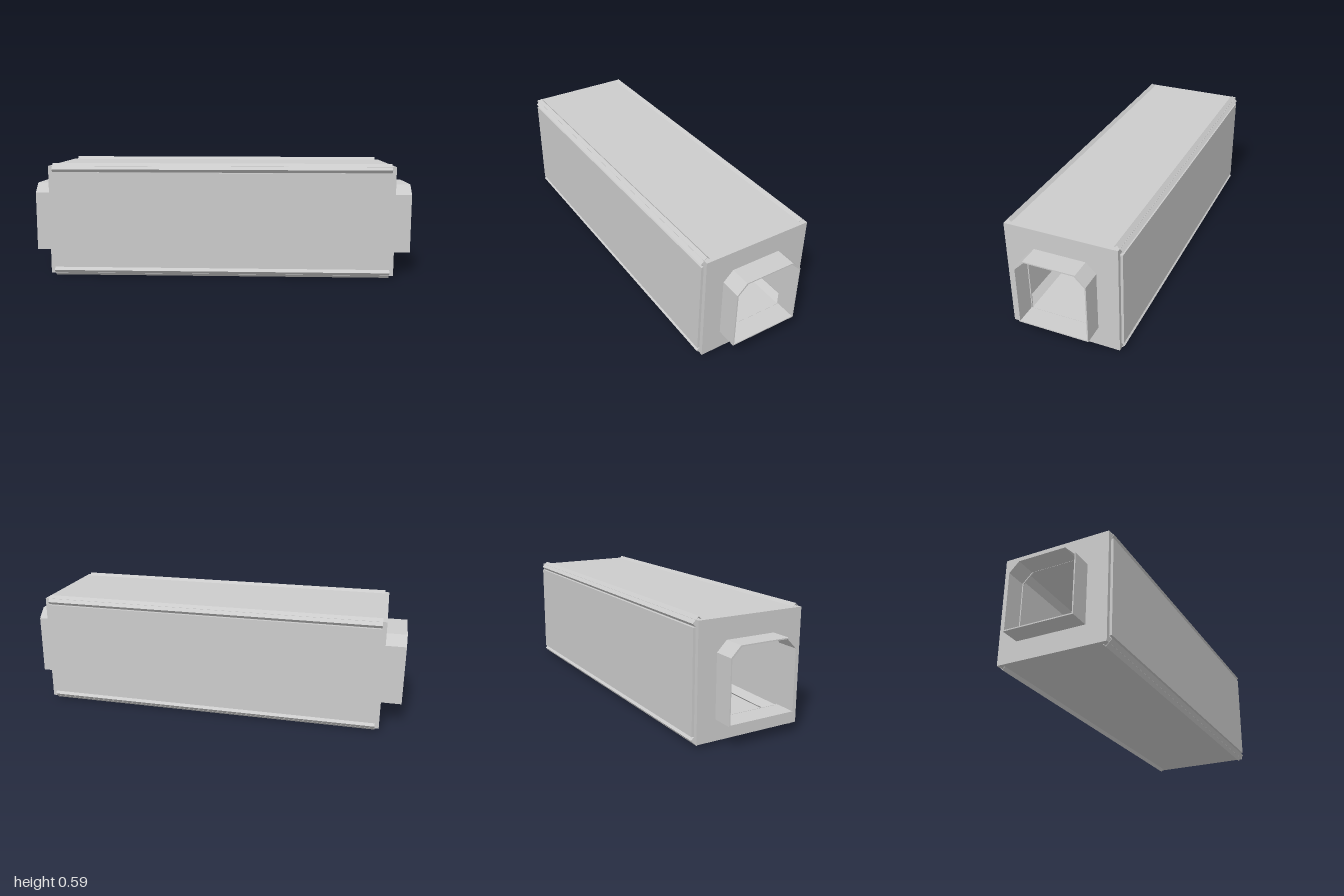
import * as THREE from 'three';

const grey = new THREE.MeshStandardMaterial({ color: 0xcccccc, flatShading: true, side: THREE.DoubleSide });
const MID = 0.3; // height of the long axis

// Profiles are drawn as [z, y] around the long axis
const square = h => [[-h, -h], [h, -h], [h, h], [-h, h]];
const diamond = r => [[0, -r], [r, 0], [0, r], [-r, 0]];
const opening = h => [[-h, -h], [h, -h], [h, h - 0.05], [h - 0.05, h], [0.05 - h, h], [-h, h - 0.05]];
const points = list => list.map(([x, y]) => new THREE.Vector2(x, y));

// Hollow section running along x from x0 to x1
function sleeve(name, outer, inner, x0, x1, y, z) {
  const shape = new THREE.Shape(points(outer));
  shape.holes.push(new THREE.Path(points(inner)));
  const geometry = new THREE.ExtrudeGeometry(shape, { depth: x1 - x0, bevelEnabled: false });
  geometry.rotateY(Math.PI / 2);
  const mesh = new THREE.Mesh(geometry, grey);
  mesh.name = name;
  mesh.position.set(x0, y, z);
  return mesh;
}

export function createModel() {
  const model = new THREE.Group();
  model.name = 'boxSection';

  // Hollow main body
  model.add(sleeve('bodyShell', square(0.2825), square(0.278), -0.892, 0.89, MID, 0));

  for (const s of [-1, 1]) {
    const side = s > 0 ? 'left' : 'right';
    const z = s * 0.0045;
    const span = (a, b) => (s > 0 ? [a, b] : [-b, -a]);

    // End wall with a chamfered opening
    model.add(sleeve(side + 'EndWall', square(0.2825), opening(0.1725), ...span(0.89, 0.896), MID, 0));

    // Connector collar projecting from the end
    model.add(sleeve(side + 'Collar', opening(0.1795), opening(0.1735), ...span(0.89, 1), MID, z));

    // Raised panel on the front and back
    const panel = new THREE.Mesh(new THREE.BoxGeometry(1.75, 0.498, 0.014), grey);
    panel.name = s > 0 ? 'frontPanel' : 'backPanel';
    panel.position.set(0, MID, s * 0.288);
    model.add(panel);

    // Diamond edge tubes, open at both ends
    for (const v of [-1, 1]) {
      const name = (s > 0 ? 'front' : 'back') + (v > 0 ? 'Upper' : 'Lower') + 'EdgeTube';
      model.add(sleeve(name, diamond(0.031), diamond(0.028), -0.875, 0.875, MID + v * 0.266, s * 0.267));
    }
  }

  // Rest the lowest edge on the ground
  model.position.y = -new THREE.Box3().setFromObject(model).min.y;
  return model;
}
